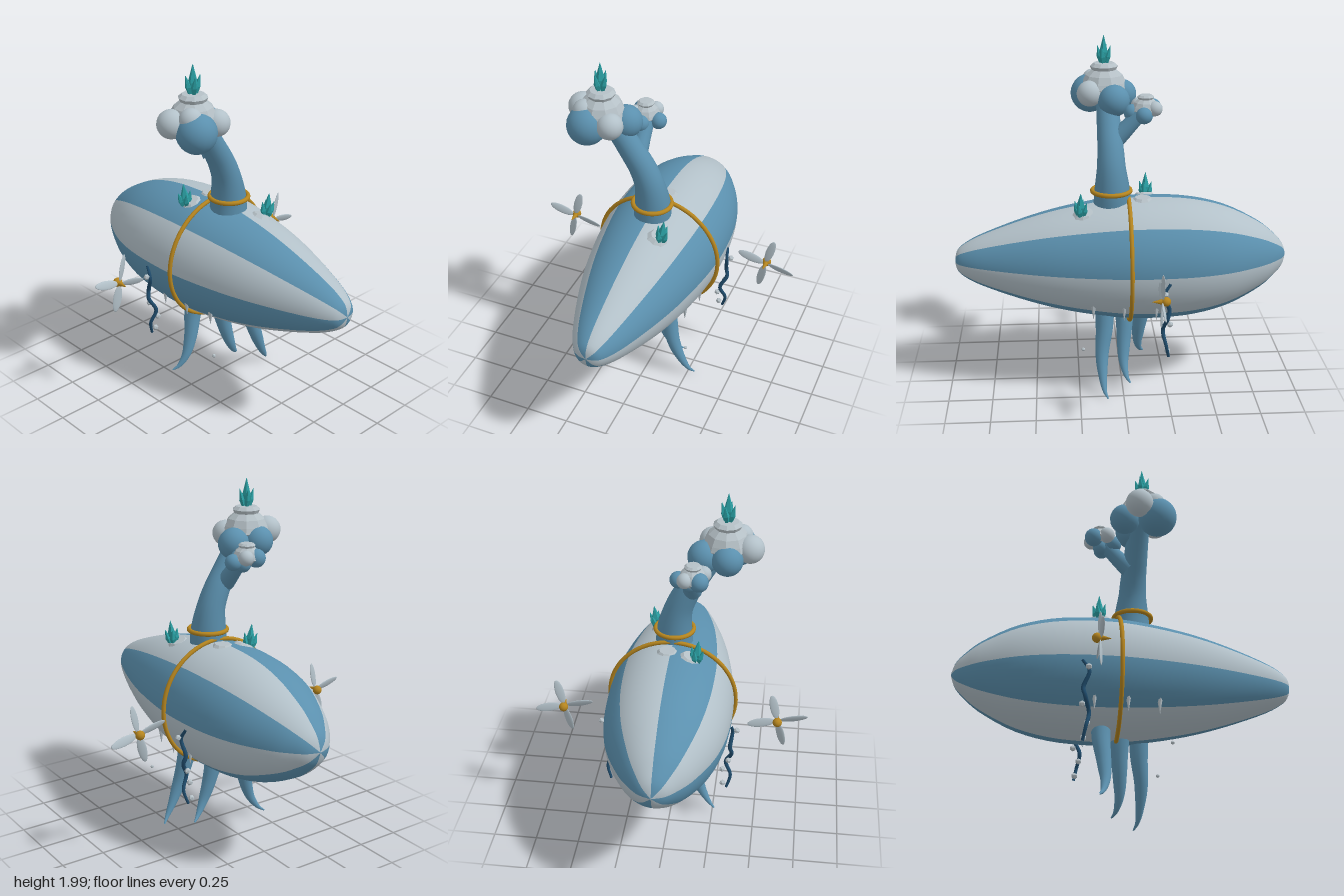
import * as THREE from 'three';

export function createModel() {
  const model = new THREE.Group();
  const mat = (name, color, extra = {}) => {
    const m = new THREE.MeshStandardMaterial({ color, ...extra });
    m.name = name;
    return m;
  };
  const blue = mat('hull blue', 0x5b90ae);
  const grey = mat('pale grey', 0xb3c1c9);
  const frost = mat('frost grey', 0xb5c0c6, { flatShading: true });
  const gold = mat('brass', 0xb5851f);
  const teal = mat('crystal teal', 0x2a9fa3, { flatShading: true });
  const navy = mat('vine navy', 0x1f4b6b);

  const V = (x, y, z) => new THREE.Vector3(x, y, z);
  const add = (name, geo, material, pos = [0, 0, 0], parent = model) => {
    const mesh = new THREE.Mesh(geo, material);
    mesh.name = name;
    mesh.position.set(...pos);
    parent.add(mesh);
    return mesh;
  };
  // Tube whose radius follows a list of values along its length
  const taperedTube = (points, radii, steps = 24, sides = 14) => {
    const curve = new THREE.CatmullRomCurve3(points.map((p) => V(...p)));
    const geo = new THREE.TubeGeometry(curve, steps, 1, sides);
    const pos = geo.attributes.position;
    const v = V(0, 0, 0);
    for (let i = 0; i <= steps; i++) {
      const c = curve.getPointAt(i / steps);
      const f = (i / steps) * (radii.length - 1);
      const k = Math.min(Math.floor(f), radii.length - 2);
      const r = THREE.MathUtils.lerp(radii[k], radii[k + 1], f - k);
      for (let j = 0; j <= sides; j++) {
        const n = i * (sides + 1) + j;
        v.fromBufferAttribute(pos, n).sub(c).multiplyScalar(r).add(c);
        pos.setXYZ(n, v.x, v.y, v.z);
      }
    }
    return geo;
  };
  const ball = (name, material, [x, y, z, r], parent) =>
    add(name, new THREE.SphereGeometry(r, 20, 14), material, [x, y, z], parent);

  // Striped hull: eight lathe sectors, laid along z
  const profile = new THREE.SplineCurve([
    [0.001, -0.95], [0.07, -0.925], [0.13, -0.87], [0.2, -0.78], [0.29, -0.6], [0.34, -0.4],
    [0.356, -0.18], [0.35, 0], [0.322, 0.2], [0.28, 0.4], [0.22, 0.6], [0.145, 0.8],
    [0.09, 0.9], [0.05, 0.935], [0.001, 0.945],
  ].map((p) => new THREE.Vector2(...p))).getPoints(48);
  const hull = new THREE.Group();
  hull.name = 'hull';
  hull.position.y = 0.775;
  hull.rotation.x = Math.PI / 2;
  model.add(hull);
  for (let i = 0; i < 8; i++) {
    const geo = new THREE.LatheGeometry(profile, 6, (i * Math.PI) / 4, Math.PI / 4);
    add('hullStripe', geo, i % 2 ? grey : blue, [0, 0, 0], hull);
  }

  // Brass hoops around the hull and the neck
  add('hullHoop', new THREE.TorusGeometry(0.363, 0.012, 10, 64), gold, [0, 0.775, -0.04]);
  add('neckCollar', new THREE.TorusGeometry(0.107, 0.013, 10, 40), gold, [0, 1.175, 0.055])
    .rotation.x = Math.PI / 2;

  // Neck and its side branch
  add('neck', taperedTube(
    [[0, 1.08, 0.05], [0, 1.17, 0.05], [-0.02, 1.3, 0.053], [-0.06, 1.4, 0.055], [-0.12, 1.5, 0.06],
      [-0.19, 1.61, 0.065], [-0.25, 1.7, 0.07]],
    [0.108, 0.098, 0.08, 0.073, 0.068, 0.064, 0.062], 32, 20), blue);
  add('branch', taperedTube([[-0.1, 1.44, 0.03], [-0.1, 1.52, -0.05], [-0.1, 1.61, -0.13]],
    [0.055, 0.045, 0.04]), blue);
  add('neckFrost', new THREE.IcosahedronGeometry(1, 1), frost, [0, 1.38, 0.06]).scale.set(0.02, 0.012, 0.05);

  // Cluster of lobes at the top of the neck
  const head = new THREE.Group();
  head.name = 'head';
  model.add(head);
  [[-0.33, 1.66, 0.16, 0.11], [-0.16, 1.65, 0.03, 0.09], [-0.29, 1.66, -0.02, 0.085]]
    .forEach((b) => ball('blueLobe', blue, b, head));
  [[-0.405, 1.7, 0.05, 0.078], [-0.195, 1.685, 0.165, 0.073], [-0.35, 1.73, 0.14, 0.065]]
    .forEach((b) => ball('greyLobe', grey, b, head));
  // Faceted frost domes, stepped like a cap
  const frostDome = (x, y, z, s) => add('frostDome', new THREE.LatheGeometry(
    [[0.09, -0.12], [0.135, -0.07], [0.125, -0.04], [0.105, 0], [0.07, 0.03], [0.08, 0.05], [0.06, 0.068], [0, 0.07]]
      .map(([r, h]) => new THREE.Vector2(r * s, h * s)), 10), frost, [x, y, z], head);
  frostDome(-0.28, 1.775, 0.08, 1);
  frostDome(-0.12, 1.65, -0.145, 0.6);
  [[-0.04, 1.59, -0.13, 0.046], [-0.12, 1.59, -0.07, 0.048], [-0.155, 1.61, -0.185, 0.052], [-0.1, 1.575, -0.14, 0.045]]
    .forEach((b) => ball('branchLobe', blue, b, head));
  [[-0.08, 1.62, -0.195, 0.042], [-0.17, 1.62, -0.11, 0.045]]
    .forEach((b) => ball('branchLobe', grey, b, head));

  // Crystal clumps: a tall shard with leaning shards around it
  const crystals = (x, y, z, h, tilt = 0) => {
    const g = new THREE.Group();
    g.name = 'crystalClump';
    g.position.set(x, y, z);
    g.rotation.z = tilt;
    model.add(g);
    const shard = (k, w) => new THREE.LatheGeometry(
      [[0.001, 0], [w * 0.7, 0.05 * k], [w, 0.4 * k], [0.001, k]]
        .map((p) => new THREE.Vector2(...p)), 5);
    add('shard', shard(h, 0.026), teal, [0, 0, 0], g);
    for (let i = 0; i < 4; i++) {
      const a = i * 1.57 + 0.4;
      add('shard', shard(h * 0.65, 0.018), teal, [Math.cos(a) * 0.014, 0, Math.sin(a) * 0.014], g)
        .rotation.set(Math.sin(a) * 0.25, 0, -Math.cos(a) * 0.25);
    }
  };
  crystals(-0.28, 1.84, 0.08, 0.16);
  crystals(0.125, 1.07, 0.23, 0.135, -0.12);
  crystals(-0.14, 1.09, -0.15, 0.14, 0.12);
  // Frost patches lying on the hull below the crystals
  [[0.1, 1.075, 0.21, -0.33], [-0.11, 1.11, -0.14, 0.33], [0.02, 1.125, -0.12, 0]].forEach(([x, y, z, tilt]) => {
    const p = add('frostPatch', new THREE.CylinderGeometry(0.045, 0.07, 0.025, 9), frost, [x, y, z]);
    p.rotation.z = tilt;
  });

  // Three curling legs
  [
    [[0.11, 0.5, 0.1], [0.13, 0.38, 0.105], [0.165, 0.24, 0.12], [0.215, 0.12, 0.118], [0.26, 0.045, 0.108], [0.288, 0.014, 0.09]],
    [[0, 0.47, -0.015], [0.015, 0.38, -0.018], [0.045, 0.25, -0.012], [0.085, 0.14, -0.01], [0.13, 0.07, -0.025], [0.165, 0.045, -0.045]],
    [[-0.1, 0.48, -0.13], [-0.12, 0.38, -0.128], [-0.15, 0.25, -0.115], [-0.19, 0.14, -0.112], [-0.235, 0.07, -0.13], [-0.265, 0.047, -0.15]],
  ].forEach((pts) => add('leg', taperedTube(pts, [0.055, 0.05, 0.042, 0.034, 0.021, 0.004], 28), blue));

  for (const s of [-1, 1]) {
    // Propeller: ball, forward cone and four twisted blades
    const prop = new THREE.Group();
    prop.name = 'propeller';
    prop.position.set(s * 0.608, 0.755, -0.18);
    model.add(prop);
    add('hub', new THREE.SphereGeometry(0.026, 16, 12), gold, [0, 0, -0.018], prop);
    add('hubCone', new THREE.ConeGeometry(0.02, 0.075, 12), gold, [0, 0, 0.022], prop).rotation.x = Math.PI / 2;
    for (let i = 0; i < 4; i++) {
      const arm = new THREE.Group();
      arm.name = 'bladeArm';
      arm.rotation.z = 1.34 + (i * Math.PI) / 2;
      prop.add(arm);
      const blade = add('blade', new THREE.SphereGeometry(1, 16, 10), grey, [0.092, 0, 0], arm);
      blade.scale.set(0.08, 0.025, 0.006);
      blade.rotation.x = 0.35;
    }

    // Hanging vine with small frost buds
    const vine = [[0.352, 0.745, -0.25], [0.362, 0.68, -0.215], [0.352, 0.59, -0.245], [0.362, 0.54, -0.235],
      [0.328, 0.46, -0.212], [0.358, 0.38, -0.228], [0.338, 0.3, -0.245]]
      .map(([x, y, z]) => [s * x, y, z]);
    add('vine', taperedTube(vine, [0.008, 0.012, 0.011, 0.008], 40, 8), navy);
    [[0.385, 0.695, -0.22], [0.345, 0.5, -0.25], [0.31, 0.41, -0.22], [0.315, 0.325, -0.24], [0.28, 0.33, 0.23]]
      .forEach(([x, y, z], i) => add('frostBud', new THREE.IcosahedronGeometry(i === 4 ? 0.011 : 0.018, 0), frost, [s * x, y, z]));

    // Icicles under the flank
    [[0.25, 0.17], [0.275, 0], [0.28, -0.18]].forEach(([x, z]) => {
      add('icicle', new THREE.ConeGeometry(0.016, 0.09, 7), frost, [s * x, 0.54, z]).rotation.x = Math.PI;
    });
  }
  return model;
}
